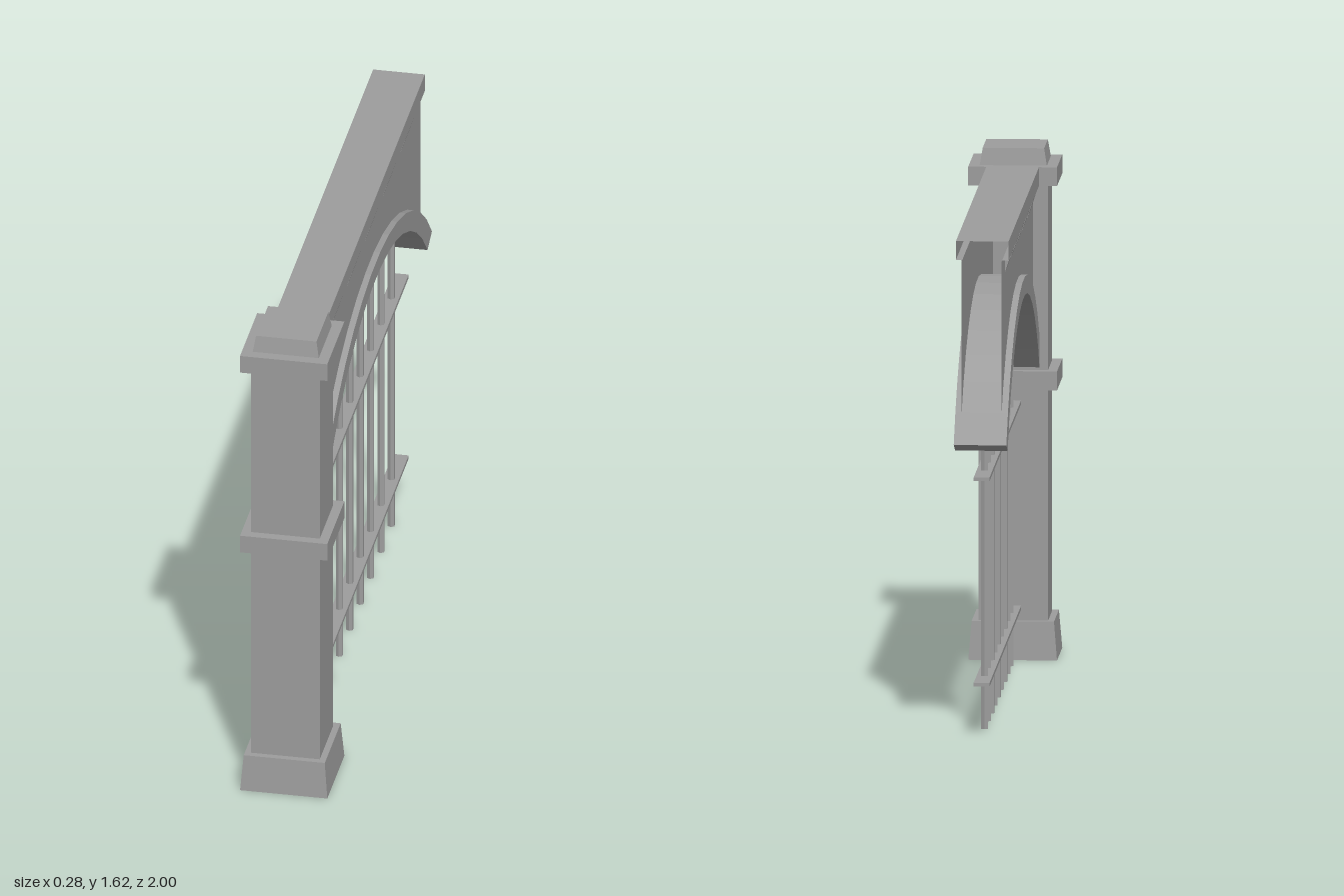
import * as THREE from 'three';

const STONE = 0x9d9d9d;
const stone = new THREE.MeshStandardMaterial({ color: STONE, flatShading: true });
const stoneShell = new THREE.MeshStandardMaterial({ color: STONE, flatShading: true, side: THREE.DoubleSide });

const PILLAR_Z = 0.86, ARCH_Z = -0.08;
const WALL_X = 0.063, BEAM_X = 0.083;
const FRONT = 0.755, BACK = -0.914;

function add(group, name, geometry, material = stone) {
  const mesh = new THREE.Mesh(geometry, material);
  mesh.name = name;
  group.add(mesh);
  return mesh;
}

// Square block with its own half width at the bottom and the top
function block(bottom, top, y0, y1, open = false) {
  const g = new THREE.CylinderGeometry(top * Math.SQRT2, bottom * Math.SQRT2, y1 - y0, 4, 1, open);
  return g.rotateY(Math.PI / 4).translate(0, (y0 + y1) / 2, 0);
}

// Elliptical arch curve: height at a distance dz from its middle
function archCurve(apexY, endY, halfSpan, radiusZ) {
  const radiusY = (apexY - endY) / (1 - Math.sqrt(1 - (halfSpan / radiusZ) ** 2));
  const height = (dz) => apexY - radiusY * (1 - Math.sqrt(1 - (dz / radiusZ) ** 2));
  const end = Math.asin(halfSpan / radiusZ), segments = 15;
  const points = Array.from({ length: segments + 1 }, (_, i) => {
    const dz = radiusZ * Math.sin(end * (1 - (2 * i) / segments));
    return new THREE.Vector2(ARCH_Z + dz, height(dz));
  });
  return { height, points };
}

const innerArch = archCurve(1.274, 0.91, 0.848, 1.03);
const outerArch = archCurve(1.332, 0.938, 0.92, 1.1);

// Open sheet: a path in x and y swept along z
function sheet(path, z0, z1) {
  const pos = [];
  for (let i = 0; i < path.length - 1; i++) {
    const [a, b] = [path[i], path[i + 1]];
    pos.push(...a, z0, ...b, z0, ...b, z1, ...a, z0, ...b, z1, ...a, z1);
  }
  const g = new THREE.BufferGeometry();
  g.setAttribute('position', new THREE.Float32BufferAttribute(pos, 3));
  g.computeVertexNormals();
  return g;
}

function makePillar() {
  const pillar = new THREE.Group();
  pillar.name = 'pillar';
  add(pillar, 'pillarBase', block(0.14, 0.13, 0, 0.122, true), stoneShell);
  add(pillar, 'pillarBaseTop', new THREE.PlaneGeometry(0.26, 0.26).rotateX(-Math.PI / 2).translate(0, 0.122, 0), stoneShell);
  add(pillar, 'pillarShaft', block(0.11, 0.11, 0.122, 1.53));
  add(pillar, 'middleCollar', block(0.14, 0.14, 0.86, 0.92));
  add(pillar, 'topCollar', block(0.14, 0.14, 1.51, 1.57));
  add(pillar, 'pillarCap', block(0.106, 0.097, 1.57, 1.624));
  pillar.position.z = PILLAR_Z;
  return pillar;
}

function makeArchWall() {
  const wall = new THREE.Group();
  wall.name = 'archWall';

  // Arch ring
  const ring = new THREE.Shape([...outerArch.points, ...innerArch.points.slice().reverse()]);
  const ringGeo = new THREE.ExtrudeGeometry(ring, { depth: 2 * BEAM_X, bevelEnabled: false });
  add(wall, 'archRing', ringGeo.translate(0, 0, -BEAM_X).rotateY(-Math.PI / 2));

  // Wall panel over the arch
  const edge = outerArch.points.filter((p) => p.x < FRONT && p.x > BACK);
  const panel = new THREE.Shape([
    new THREE.Vector2(FRONT, 1.51), new THREE.Vector2(FRONT, outerArch.height(FRONT - ARCH_Z)), ...edge,
    new THREE.Vector2(BACK, outerArch.height(BACK - ARCH_Z)), new THREE.Vector2(BACK, 1.51),
  ]);
  const panelGeo = new THREE.ShapeGeometry(panel).rotateY(-Math.PI / 2).translate(-WALL_X, 0, 0);

  // Wedge corbel: its face slopes from the coping's edge back to the wall
  const wedge = new THREE.Shape([
    new THREE.Vector2(-WALL_X, 1.51), new THREE.Vector2(-BEAM_X, 1.51), new THREE.Vector2(-WALL_X, 1.45),
  ]);
  const corbelGeo = new THREE.ExtrudeGeometry(wedge, { depth: 0.144, bevelEnabled: false }).translate(0, 0, -0.072);

  // Both faces of the wall, hollow between
  for (const side of [1, -1]) {
    add(wall, side > 0 ? 'rightWallPanel' : 'leftWallPanel', panelGeo, stoneShell).scale.x = side;
    for (let i = 0; i < 5; i++) {
      const corbel = add(wall, 'corbel', corbelGeo);
      corbel.scale.x = side;
      corbel.position.z = 0.501 - i * 0.291;
    }
  }

  // Coping: open at the far end, with lips back to the panels
  add(wall, 'coping', sheet([
    [-WALL_X, 1.51], [-BEAM_X, 1.51], [-BEAM_X, 1.57],
    [BEAM_X, 1.57], [BEAM_X, 1.51], [WALL_X, 1.51],
  ], 0.73, -0.883), stoneShell);
  return wall;
}

function makeGrille() {
  const grille = new THREE.Group();
  grille.name = 'grille';
  // Upright bars end just inside the arch ring
  for (let i = -4; i <= 4; i++) {
    const dz = i * 0.1695;
    const top = innerArch.height(dz) + 0.015;
    add(grille, 'uprightBar', new THREE.CylinderGeometry(0.012, 0.012, top, 6).translate(0, top / 2, ARCH_Z + dz));
  }
  for (const y of [0.163, 0.817]) {
    const rail = new THREE.BoxGeometry(0.05, 0.012, FRONT - BACK);
    add(grille, 'crossRail', rail.translate(0, y, (FRONT + BACK) / 2));
  }
  return grille;
}

export function createModel() {
  const model = new THREE.Group();
  model.name = 'archedGateway';
  model.add(makePillar(), makeArchWall(), makeGrille());
  return model;
}
